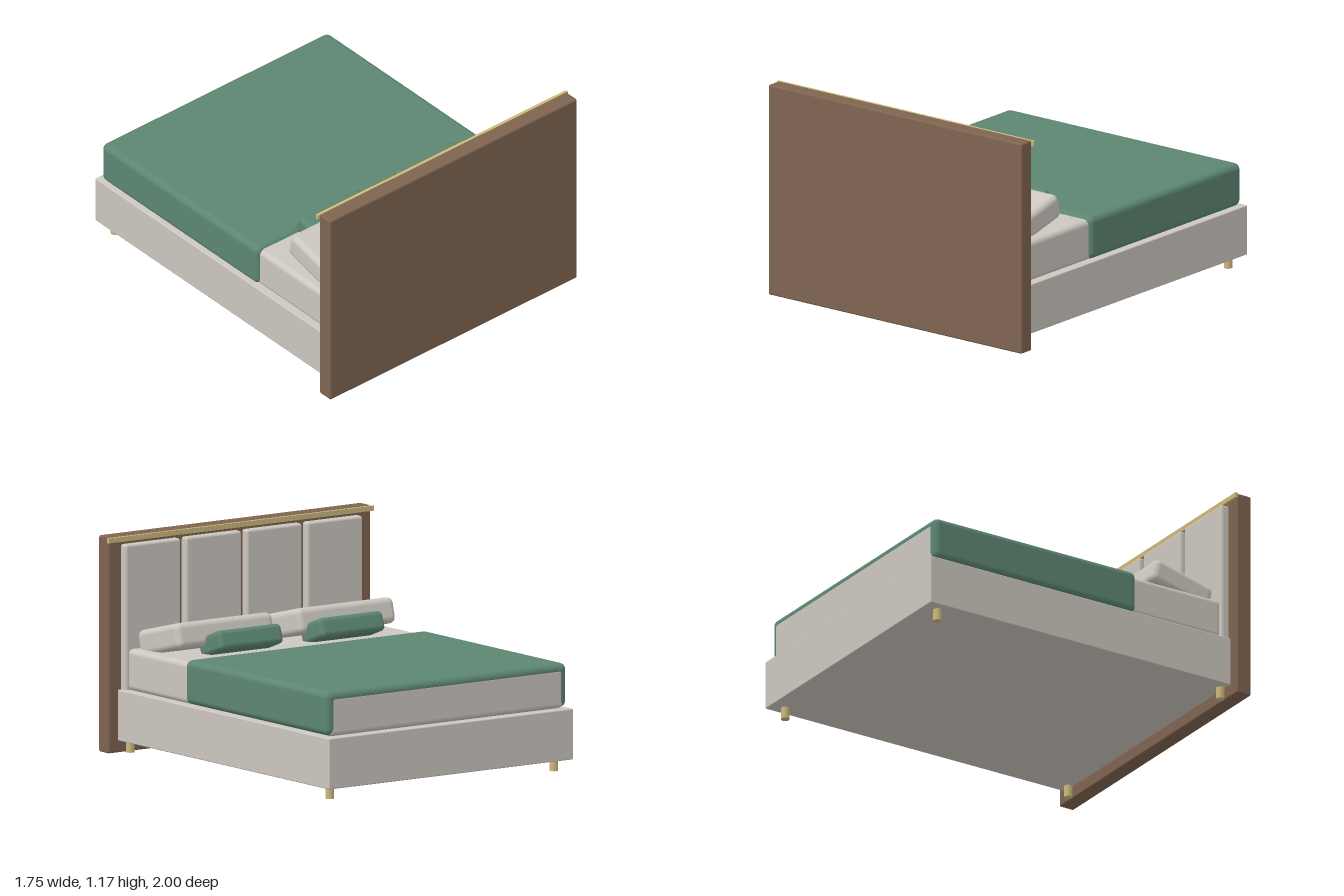
import * as THREE from 'three';
import { RoundedBoxGeometry } from 'three/addons/geometries/RoundedBoxGeometry.js';

export function createModel() {
  const bed = new THREE.Group();
  bed.name = 'bed';

  const material = (name, color) => {
    const m = new THREE.MeshStandardMaterial({ color });
    m.name = name;
    return m;
  };
  const linen = material('linen', 0xccc7bf);
  const green = material('green fabric', 0x5c8672);
  const wood = material('brown wood', 0x7f6450);
  const brass = material('brass', 0xcdba7c);

  const add = (name, geometry, mat, x, y, z) => {
    const mesh = new THREE.Mesh(geometry, mat);
    mesh.name = name;
    mesh.position.set(x, y, z);
    bed.add(mesh);
    return mesh;
  };
  // Rounded block given by its width and its y and z ranges
  const block = (name, mat, x, w, y0, y1, z0, z1, r) =>
    add(name, new RoundedBoxGeometry(w, y1 - y0, z1 - z0, 3, r), mat,
      x, (y0 + y1) / 2, (z0 + z1) / 2);
  // Cushion leaning back, with its foot-side edge raised
  const cushion = (name, mat, x, y, z, size, r, tilt) => {
    const mesh = add(name, new RoundedBoxGeometry(...size, 3, r), mat, x, y, z);
    mesh.rotation.x = tilt;
  };

  // Base and bedding
  block('bedFrame', linen, 0, 1.61, 0.065, 0.34, -1, 0.91, 0.006);
  block('mattress', linen, 0, 1.55, 0.34, 0.565, -0.966, 0.87, 0.03);
  block('blanket', green, 0, 1.59, 0.345, 0.583, -0.965, 0.32, 0.035);

  // Headboard with brass trim and four padded panels
  block('headboard', wood, 0, 1.73, 0, 1.17, 0.91, 1, 0.01);
  add('brassTrim', new THREE.BoxGeometry(1.75, 0.027, 0.017), brass, 0, 1.153, 0.902);
  for (const x of [-0.6, -0.2, 0.2, 0.6]) {
    block('headboardPanel', linen, x, 0.365, 0.3, 1.125, 0.865, 0.92, 0.014);
  }

  // Pillows, small cushions and legs on both sides
  for (const side of [-1, 1]) {
    cushion('pillow', linen, side * 0.4, 0.634, 0.665, [0.64, 0.14, 0.38], 0.035, 0.25);
    cushion('smallCushion', green, side * 0.335, 0.624, 0.44, [0.42, 0.11, 0.21], 0.028, 0.36);
    for (const z of [-0.915, 0.885]) {
      add('leg', new THREE.CylinderGeometry(0.023, 0.023, 0.07, 16), brass, side * 0.74, 0.035, z);
    }
  }
  return bed;
}
